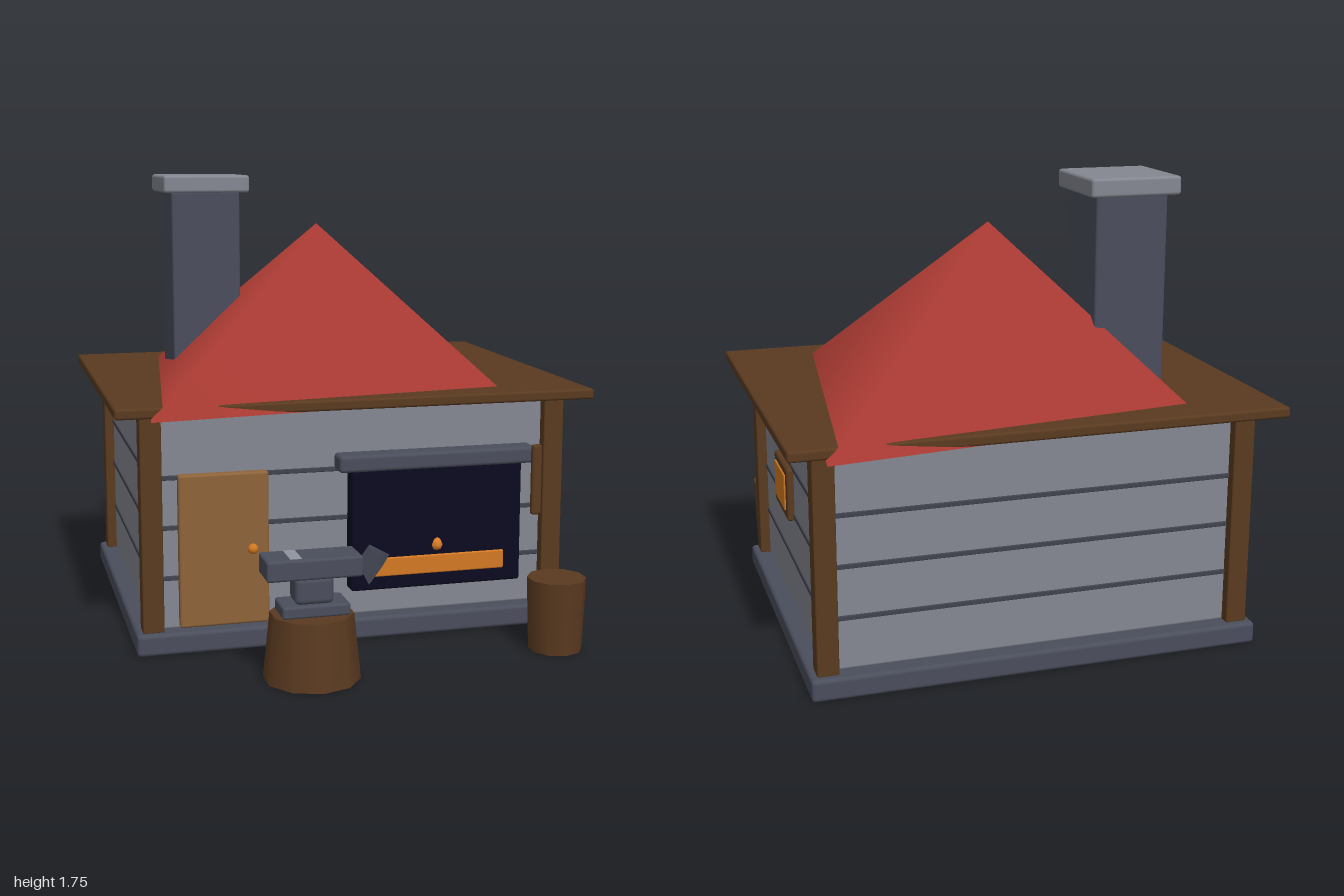
import * as THREE from 'three';
import { RoundedBoxGeometry } from 'three/addons/geometries/RoundedBoxGeometry.js';

export function createModel() {
  const model = new THREE.Group();
  model.name = 'smithy';

  const paint = (name, hex) => {
    const m = new THREE.MeshStandardMaterial({ color: hex });
    m.name = name;
    return m;
  };
  const stone = paint('light stone', 0x848791);
  const slate = paint('dark stone', 0x4a4e5c);
  const groove = paint('mortar', 0x40434e);
  const wood = paint('dark wood', 0x5a3a20);
  const plank = paint('door wood', 0x8f633a);
  const tiles = paint('roof red', 0xa83a32);
  const soot = paint('soot', 0x0a0a20);
  const glow = paint('ember orange', 0xd37822);
  const flameMat = paint('flame', 0xe08028);
  const steel = paint('bright steel', 0x8f949f);

  const add = (name, geometry, material, x, y, z) => {
    const mesh = new THREE.Mesh(geometry, material);
    mesh.name = name;
    mesh.position.set(x, y, z);
    model.add(mesh);
    return mesh;
  };

  // Softly bevelled box given by its extents on each axis
  const block = (name, material, [x0, x1], [y0, y1], [z0, z1], bevel = 0.01) => {
    const w = x1 - x0, h = y1 - y0, d = z1 - z0;
    const r = Math.min(bevel, Math.min(w, h, d) * 0.4);
    return add(name, new RoundedBoxGeometry(w, h, d, 2, r), material,
      (x0 + x1) / 2, (y0 + y1) / 2, (z0 + z1) / 2);
  };

  // House body
  block('foundation', slate, [-0.85, 0.85], [0, 0.083], [-0.88, 0.485], 0.015);
  block('walls', stone, [-0.785, 0.785], [0.08, 0.905], [-0.81, 0.42]);
  for (const y of [0.277, 0.469, 0.658]) {
    block('mortarLine', groove, [-0.79, 0.79], [y - 0.009, y + 0.009], [-0.815, 0.425], 0.003);
  }
  for (const x of [-0.785, 0.785]) {
    for (const z of [-0.81, 0.42]) {
      block('cornerPost', wood, [x - 0.04, x + 0.04], [0.08, 0.905], [z - 0.04, z + 0.04], 0.006);
    }
  }

  // Roof: eaves slab and a skewed four-sided pyramid
  block('eaves', wood, [-0.92, 0.92], [0.9, 0.94], [-0.935, 0.53]);
  const roof = add('roof', new THREE.ConeGeometry(1, 0.65, 4), tiles, 0, 1.225, -0.2);
  roof.scale.set(1.13, 1, 0.873);
  roof.rotation.y = Math.PI / 4;

  // Chimney
  block('chimney', slate, [-0.585, -0.305], [0.95, 1.68], [-0.545, -0.265]);
  block('chimneyCap', stone, [-0.62, -0.27], [1.675, 1.745], [-0.585, -0.23], 0.012);

  // Door
  block('door', plank, [-0.685, -0.345], [0.088, 0.67], [0.4, 0.45]);
  add('doorKnob', new THREE.SphereGeometry(0.02, 10, 8), glow, -0.41, 0.38, 0.462);

  // Forge
  block('forgeOpening', soot, [-0.035, 0.645], [0.19, 0.675], [0.4, 0.485]);
  block('forgeLintel', slate, [-0.085, 0.698], [0.655, 0.72], [0.4, 0.503], 0.014);
  block('embers', glow, [0.035, 0.575], [0.243, 0.316], [0.44, 0.492], 0.006);
  const flameProfile = [[0, 0], [0.018, 0.008], [0.026, 0.025], [0.018, 0.045], [0, 0.068]]
    .map(([r, y]) => new THREE.Vector2(r, y));
  add('flame', new THREE.LatheGeometry(flameProfile, 8), flameMat, 0.305, 0.327, 0.475);

  // Side window
  block('windowFrame', wood, [0.76, 0.812], [0.448, 0.655], [-0.26, 0.01]);
  block('windowPane', glow, [0.78, 0.818], [0.483, 0.625], [-0.228, -0.022], 0.004);

  // Hanging tool handle
  block('toolHandle', wood, [0.627, 0.667], [0.485, 0.755], [0.612, 0.637]);

  // Stump and water barrel
  add('anvilStump', new THREE.CylinderGeometry(0.15, 0.175, 0.24, 10), wood, -0.275, 0.12, 0.825);
  add('barrel', new THREE.CylinderGeometry(0.11, 0.1, 0.275, 10), wood, 0.683, 0.1375, 0.757);

  // Anvil
  block('anvilFoot', slate, [-0.395, -0.15], [0.238, 0.283], [0.755, 0.895]);
  block('anvilWaist', slate, [-0.345, -0.205], [0.28, 0.38], [0.772, 0.88], 0.02);
  block('anvilBody', slate, [-0.45, -0.105], [0.375, 0.45], [0.75, 0.895]);
  block('anvilPlate', steel, [-0.365, -0.322], [0.446, 0.453], [0.765, 0.878], 0.002);
  const horn = new THREE.ConeGeometry(0.073, 0.15, 4);
  horn.scale(1, 1, 0.7);
  horn.rotateZ(-Math.PI / 2);
  horn.rotateY(Math.PI / 4);
  add('anvilHorn', horn, slate, -0.027, 0.412, 0.825);

  return model;
}
